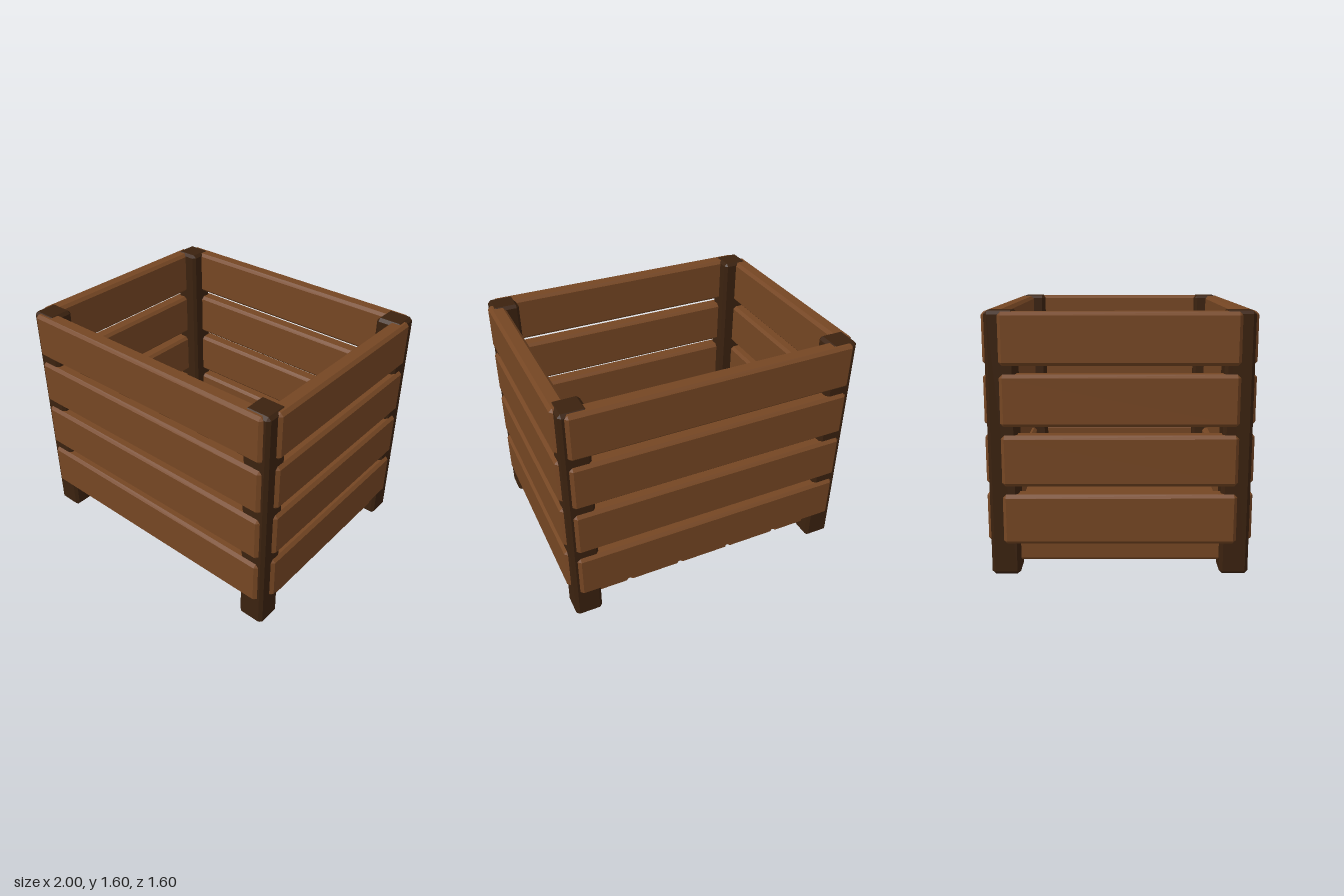
import * as THREE from 'three';
import { ConvexGeometry } from 'three/addons/geometries/ConvexGeometry.js';

// Box with chamfered edges and corners
function chamferBox(w, h, d, c = 0.02) {
  const pts = [];
  for (const x of [-1, 1]) for (const y of [-1, 1]) for (const z of [-1, 1]) {
    const X = w / 2, Y = h / 2, Z = d / 2;
    pts.push(
      new THREE.Vector3(x * X, y * (Y - c), z * (Z - c)),
      new THREE.Vector3(x * (X - c), y * Y, z * (Z - c)),
      new THREE.Vector3(x * (X - c), y * (Y - c), z * Z)
    );
  }
  return new ConvexGeometry(pts);
}

export function createModel() {
  const crate = new THREE.Group();
  crate.name = 'woodenCrate';

  const boardWood = new THREE.MeshStandardMaterial({ color: 0x754623 });
  boardWood.name = 'boardWood';
  const postWood = new THREE.MeshStandardMaterial({ color: 0x3b220f });
  postWood.name = 'postWood';

  function add(name, geometry, material, x, y, z) {
    const mesh = new THREE.Mesh(geometry, material);
    mesh.name = name;
    mesh.position.set(x, y, z);
    crate.add(mesh);
  }

  // Four corner posts
  const post = chamferBox(0.18, 1.6, 0.175);
  for (const x of [-1, 1]) for (const z of [-1, 1]) {
    add('cornerPost', post, postWood, x * 0.89, 0.8, z * 0.6925);
  }

  // Four rows of wall boards
  const longBoard = chamferBox(1.89, 0.31, 0.11);
  const sideBoard = chamferBox(0.11, 0.31, 1.4);
  for (let row = 0; row < 4; row++) {
    const y = 0.357 + row * 0.361;
    add('frontBoard', longBoard, boardWood, 0, y, 0.745);
    add('backBoard', longBoard, boardWood, 0, y, -0.745);
    add('leftBoard', sideBoard, boardWood, 0.945, y, 0);
    add('rightBoard', sideBoard, boardWood, -0.945, y, 0);
  }

  // Floor planks
  const plank = chamferBox(0.362, 0.145, 1.4, 0.015);
  for (let i = -2; i <= 2; i++) {
    add('floorPlank', plank, boardWood, i * 0.377 + 0.004, 0.147, 0);
  }

  return crate;
}
